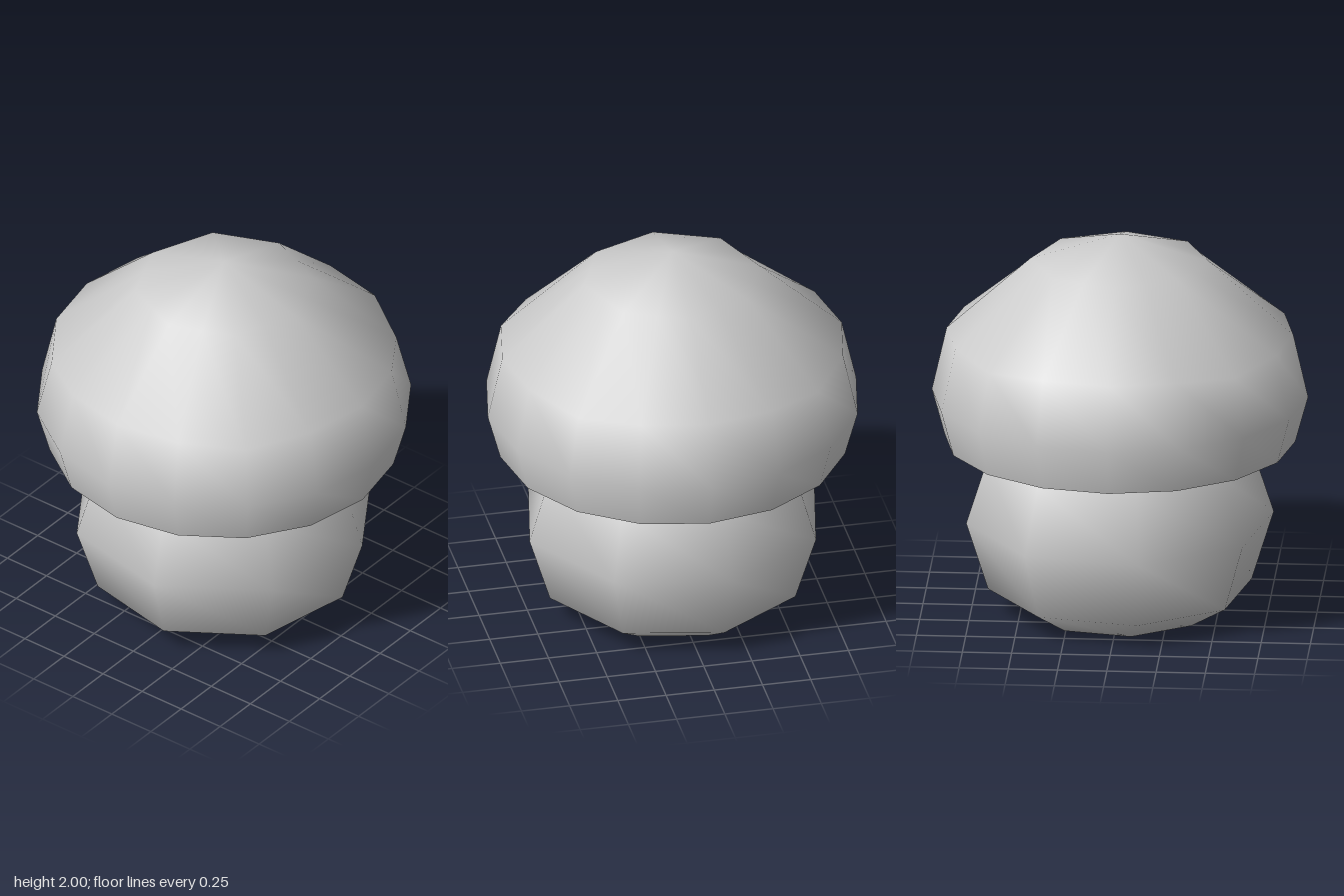
import * as THREE from 'three';
import { mergeVertices } from 'three/addons/utils/BufferGeometryUtils.js';

const grey = new THREE.MeshStandardMaterial({ color: 0xcccccc });
grey.name = 'plain grey';

// Turned shape with welded vertices; adjust(x, y, z, position, i) may move them.
function turned(profile, sides, start, adjust) {
  let g = new THREE.LatheGeometry(profile.map(p => new THREE.Vector2(...p)), sides, start);
  g.deleteAttribute('normal');
  g.deleteAttribute('uv');
  if (adjust) {
    const p = g.attributes.position;
    for (let i = 0; i < p.count; i++) adjust(p, i);
  }
  g = mergeVertices(g, 1e-4);
  g.computeVertexNormals();
  return g;
}

export function createModel() {
  const model = new THREE.Group();
  model.name = 'mushroom';
  const add = (name, geometry) => {
    const mesh = new THREE.Mesh(geometry, grey);
    mesh.name = name;
    model.add(mesh);
    return mesh;
  };

  // Bulging eight-sided stem, slightly turned
  const stem = [[0, 0], [0.458, 0], [0.673, 0.13], [0.785, 0.485], [0.677, 0.82], [0.55, 0.912]];
  add('stem', turned(stem, 8, THREE.MathUtils.degToRad(10.9)));

  // Domed cap: sixteen sides, narrowing to eight in the ring around the tip
  const cap = [[0.89, 0.91], [0.955, 1.15], [0.88, 1.48], [0.455, 1.86], [0, 2]];
  add('cap', turned(cap, 16, 0, (p, i) => {
    const ring = i % cap.length, step = Math.floor(i / cap.length);
    if (ring === 3 && step % 2 === 1) {
      const k = Math.cos(Math.PI / 8);
      p.setX(i, p.getX(i) * k);
      p.setZ(i, p.getZ(i) * k);
    }
    // Diagonal corners of the shoulder sit a little lower
    if (ring === 2 && step % 4 === 2) p.setY(i, 1.45);
  }));

  // Flat underside of the cap
  const underside = add('capUnderside', new THREE.CircleGeometry(0.89, 16));
  underside.rotation.x = Math.PI / 2;
  underside.position.y = 0.91;

  return model;
}
